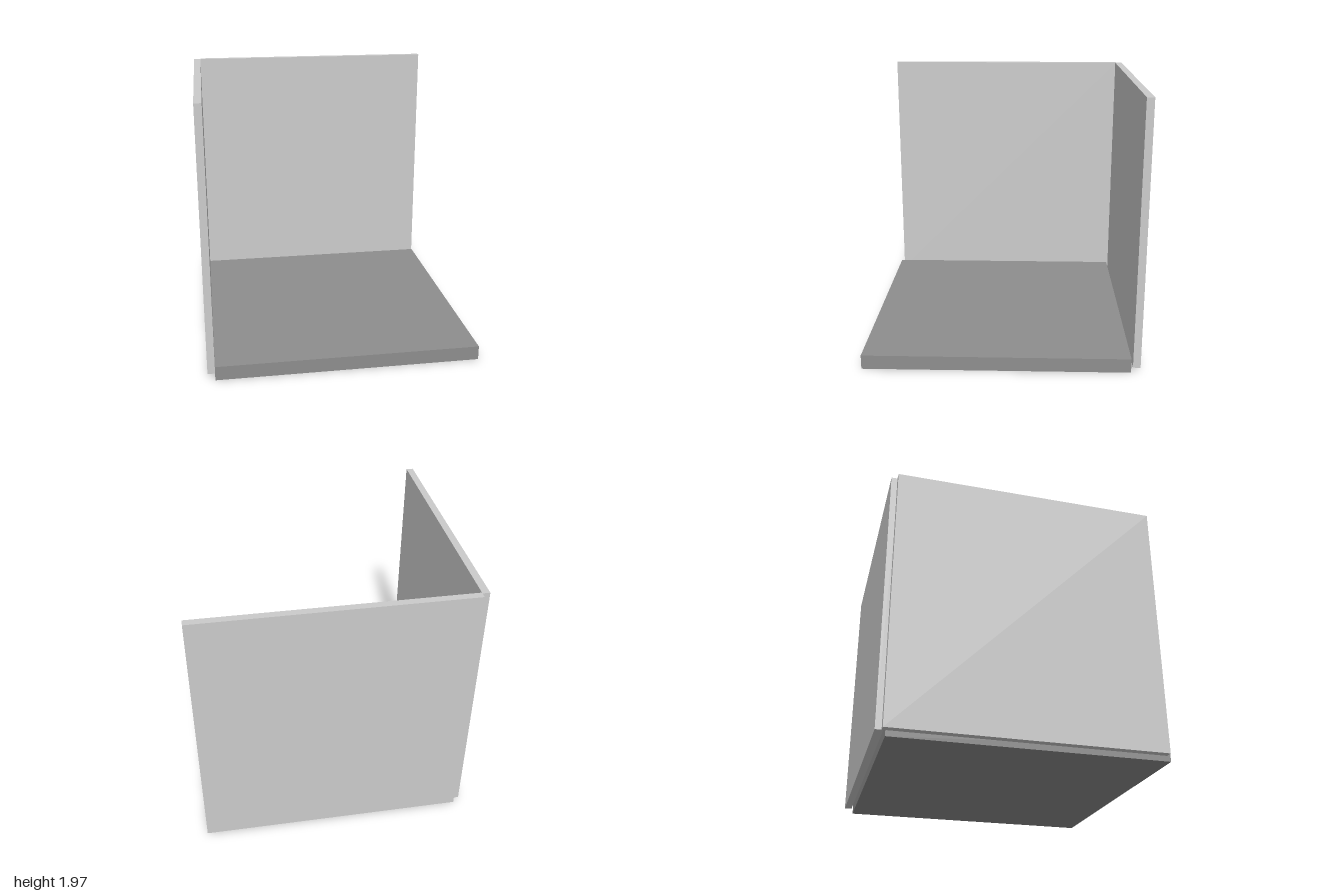
import * as THREE from 'three';

// Box panel given by its minimum and maximum corners
function panel(name, min, max, color) {
  const size = max.map((v, i) => v - min[i]);
  const mesh = new THREE.Mesh(
    new THREE.BoxGeometry(...size),
    new THREE.MeshStandardMaterial({ color })
  );
  mesh.position.set(...min.map((v, i) => (v + max[i]) / 2));
  mesh.name = name;
  return mesh;
}

export function createModel() {
  const group = new THREE.Group();
  group.name = 'roomCorner';
  group.add(
    // Thick darker floor slab
    panel('floor', [-0.937, 0, -0.934], [0.99, 0.105, 1], 0x8e8e8e),
    // Two thin walls, starting slightly above the slab's underside
    panel('backWall', [-0.937, 0.04, -1], [0.99, 1.972, -0.946], 0xcccccc),
    panel('rightWall', [-0.99, 0.04, -0.957], [-0.937, 1.972, 0.975], 0xcccccc)
  );
  return group;
}
